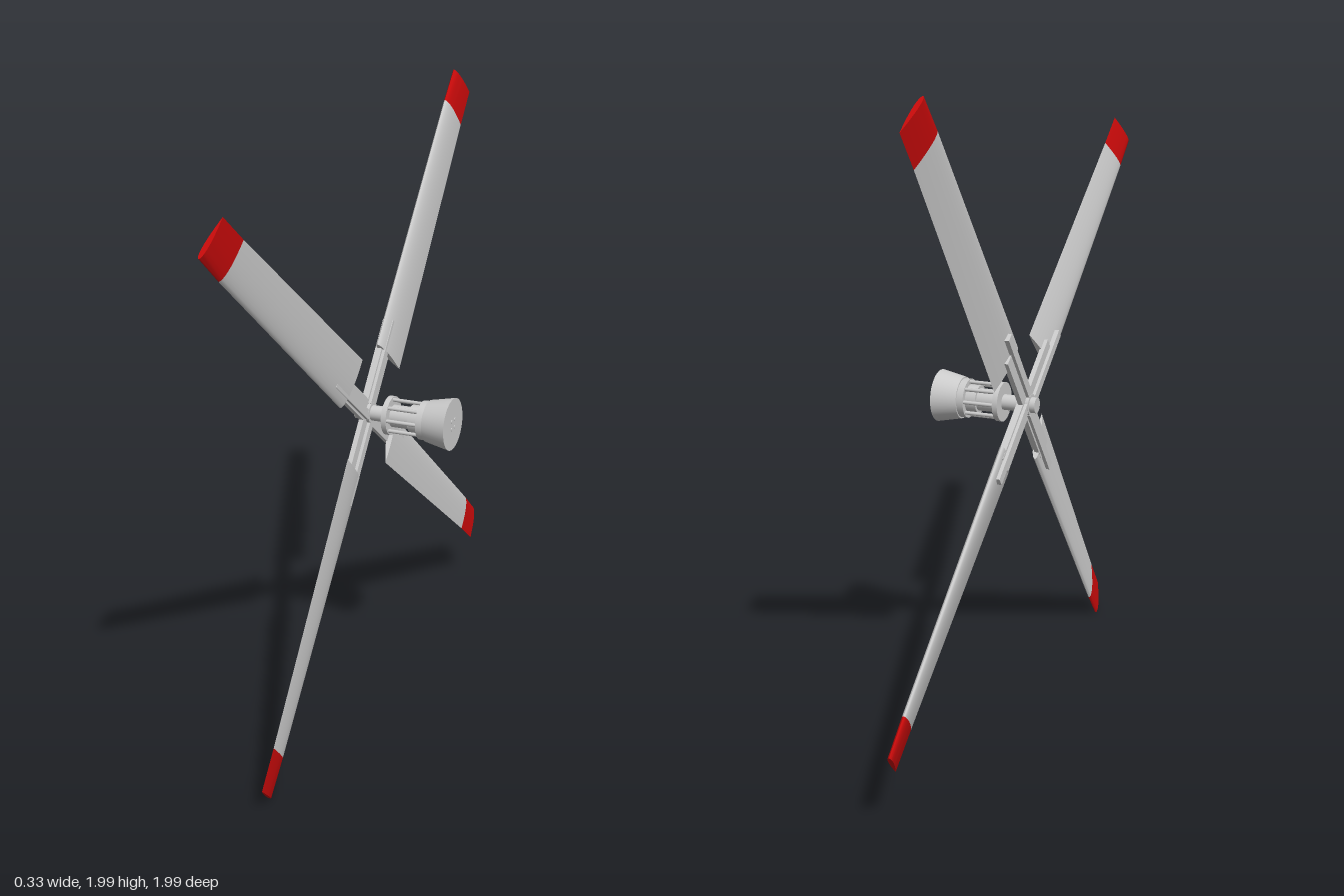
import * as THREE from 'three';
import { toCreasedNormals } from 'three/addons/utils/BufferGeometryUtils.js';

const grey = new THREE.MeshStandardMaterial({ color: 0xcccccc });
const red = new THREE.MeshStandardMaterial({ color: 0xc80a0a });

function add(parent, name, geometry, material = grey) {
  const mesh = new THREE.Mesh(geometry, material);
  mesh.name = name;
  parent.add(mesh);
  return mesh;
}

// Round part along the x axis, from x0 (radius r0) to x1 (radius r1)
function drum(parent, name, x0, x1, r0, r1 = r0, y = 0, z = 0, sides = 32) {
  const geo = new THREE.CylinderGeometry(r1, r0, x1 - x0, sides);
  geo.rotateZ(-Math.PI / 2).translate((x0 + x1) / 2, y, z);
  return add(parent, name, geo);
}

// Blade station: leading and trailing corners as [span, chord], plus thickness
const ROOT = { lead: [0.209, -0.063], trail: [0.193, 0.107], thick: 0.024 };
const BAND = { lead: [1.113, -0.045], trail: [1.094, 0.085], thick: 0.019 };
const TIP = { lead: [1.235, -0.0385], trail: [1.223, 0.0855], thick: 0.017 };
const LEAD_X = -0.131, TRAIL_X = -0.107;
const HALF = 12; // chord steps on each side of the airfoil

// Closed airfoil loop: trailing edge, -x side, rounded nose, +x side
function airfoil({ lead, trail, thick }) {
  const points = [];
  for (let i = 0; i < HALF * 2; i++) {
    const s = (1 + Math.cos((Math.PI * i) / HALF)) / 2;
    const t = thick * 5 * (0.2969 * Math.sqrt(s) - 0.126 * s - 0.3516 * s * s
      + 0.2843 * s ** 3 - 0.1036 * s ** 4);
    const side = i <= HALF ? -1 : 1;
    points.push([
      THREE.MathUtils.lerp(LEAD_X, TRAIL_X, s) + side * t,
      THREE.MathUtils.lerp(lead[0], trail[0], s),
      -THREE.MathUtils.lerp(lead[1], trail[1], s),
    ]);
  }
  return points;
}

// Solid between two airfoil stations
function bladeSection(inner, outer) {
  const n = HALF * 2;
  const index = [];
  for (let i = 0; i < n; i++) {
    const j = (i + 1) % n;
    index.push(i, j, n + j, i, n + j, n + i);
    if (i > 0 && i < n - 1) index.push(0, i + 1, i, n, n + i, n + i + 1);
  }
  const geo = new THREE.BufferGeometry();
  const verts = [...airfoil(inner), ...airfoil(outer)].flat();
  geo.setAttribute('position', new THREE.Float32BufferAttribute(verts, 3));
  geo.setIndex(index);
  return toCreasedNormals(geo, 0.7);
}

export function createModel() {
  const model = new THREE.Group();
  model.name = 'tailRotor';
  const rotor = new THREE.Group();
  rotor.name = 'rotor';
  rotor.position.y = 1;
  model.add(rotor);

  // Four blades, each with a flat arm and a grip rod reaching over the root
  const bladeGeo = bladeSection(ROOT, BAND);
  const tipGeo = bladeSection(BAND, TIP);
  for (let k = 0; k < 4; k++) {
    const arm = new THREE.Group();
    arm.name = 'bladeAssembly';
    arm.rotation.x = THREE.MathUtils.degToRad(-38.2 + k * 90);
    add(arm, 'blade', bladeGeo);
    add(arm, 'bladeTip', tipGeo, red);
    add(arm, 'arm', new THREE.BoxGeometry(0.016, 0.23, 0.07).translate(-0.131, 0.125, 0.003));
    add(arm, 'gripPlate', new THREE.BoxGeometry(0.036, 0.29, 0.028).translate(-0.131, 0.165, 0.016));
    rotor.add(arm);
  }

  // Hub and drive shaft
  drum(rotor, 'hubCap', -0.168, -0.148, 0.025);
  drum(rotor, 'hub', -0.15, -0.112, 0.034);
  drum(rotor, 'driveShaft', -0.115, -0.05, 0.025);

  // Bearing cage: flanges, stepped core and posts
  drum(rotor, 'innerFlange', -0.057, -0.04, 0.063);
  drum(rotor, 'core', -0.045, 0.03, 0.036);
  drum(rotor, 'coreSleeve', 0.025, 0.085, 0.045);
  drum(rotor, 'outerFlange', 0.06, 0.086, 0.063);
  for (let k = 0; k < 8; k++) {
    const a = (k * Math.PI) / 4;
    drum(rotor, 'cagePost', -0.045, 0.065, 0.006, 0.006, 0.054 * Math.cos(a), 0.054 * Math.sin(a), 10);
  }

  // Flared mounting cup with small bolts on its end face
  drum(rotor, 'mountingCup', 0.082, 0.163, 0.067, 0.084, 0, 0, 40);
  for (let k = 0; k < 4; k++) {
    const a = Math.PI / 4 + (k * Math.PI) / 2;
    drum(rotor, 'endBolt', 0.16, 0.166, 0.006, 0.006, 0.018 * Math.cos(a), 0.018 * Math.sin(a), 8);
  }

  return model;
}
